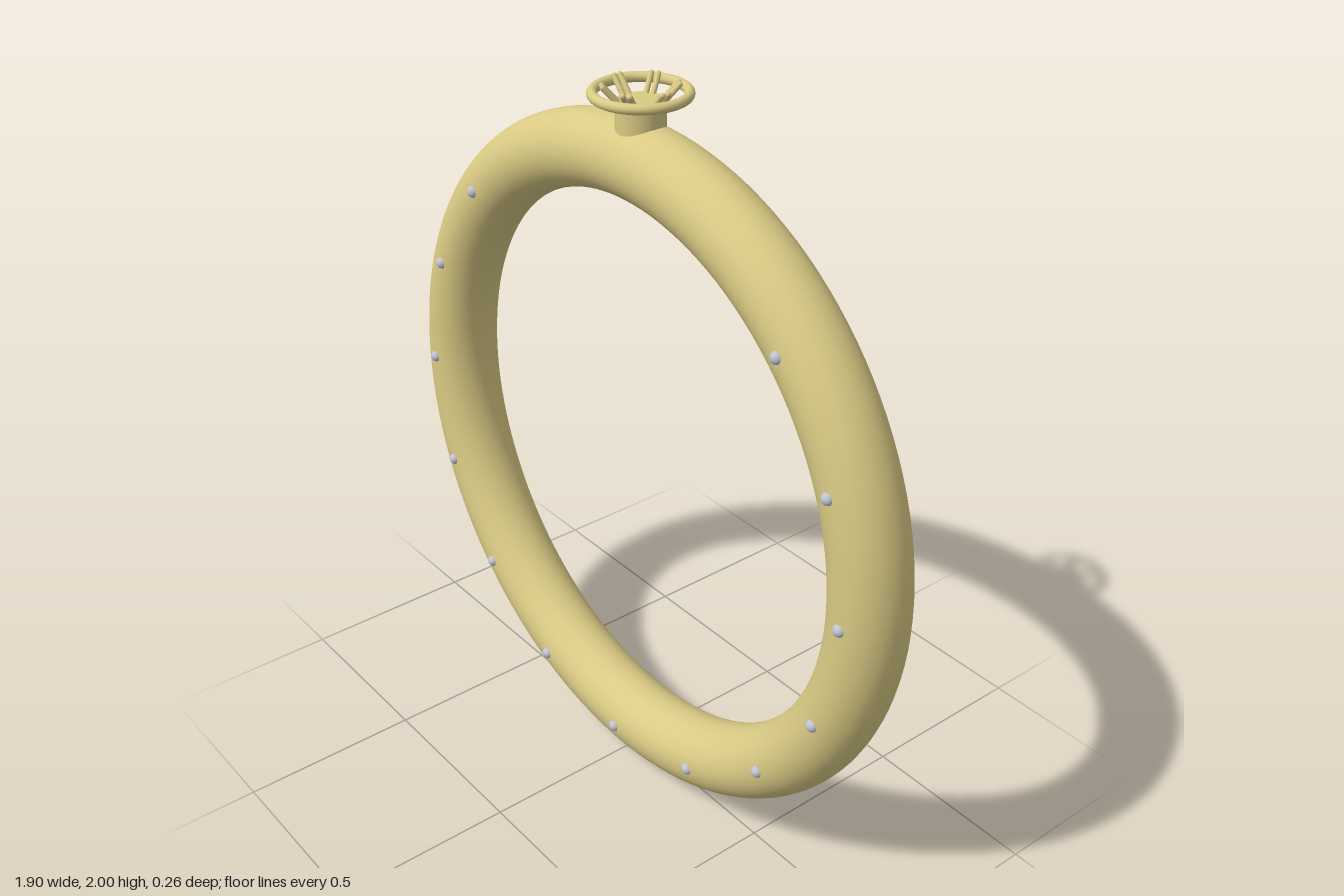
import * as THREE from 'three';

export function createModel() {
  const group = new THREE.Group();
  const gold = new THREE.MeshStandardMaterial({ color: 0xd9ca84 });
  gold.name = 'pale gold';
  const silver = new THREE.MeshStandardMaterial({ color: 0xbfc2d0 });
  silver.name = 'silver stone';

  const add = (name, geometry, material, x = 0, y = 0, z = 0) => {
    const mesh = new THREE.Mesh(geometry, material);
    mesh.name = name;
    mesh.position.set(x, y, z);
    group.add(mesh);
    return mesh;
  };

  // Main band
  const centreY = 0.953, bandRadius = 0.85;
  add('band', new THREE.TorusGeometry(bandRadius, 0.1, 40, 128), gold, 0, centreY, 0);

  // Small stones on the front, leaving the top clear
  const stone = new THREE.SphereGeometry(0.017, 20, 14);
  for (let i = 0; i < 16; i++) {
    if (i >= 3 && i <= 5) continue;
    const a = (i * Math.PI) / 8;
    add('stone', stone, silver, Math.cos(a) * bandRadius, centreY + Math.sin(a) * bandRadius, 0.095);
  }

  // Collar and halo of the setting
  add('collar', new THREE.CylinderGeometry(0.062, 0.062, 0.1, 40), gold, 0, 1.904, 0);
  add('halo', new THREE.TorusGeometry(0.115, 0.013, 16, 64), gold, 0, 1.972, 0).rotation.x = Math.PI / 2;

  // Six pairs of prongs leaning outward from the collar to the halo
  const up = new THREE.Vector3(0, 1, 0);
  for (let i = 0; i < 6; i++) {
    const a = (i * Math.PI) / 3;
    for (const side of [-0.009, 0.009]) {
      const at = (r, y) => new THREE.Vector3(r, y, side).applyAxisAngle(up, a);
      const bottom = at(0.054, 1.95), top = at(0.091, 1.991);
      const path = new THREE.LineCurve3(bottom, top);
      add('prong', new THREE.TubeGeometry(path, 1, 0.007, 10), gold);
      for (const end of [bottom, top]) {
        add('prongTip', new THREE.SphereGeometry(0.007, 10, 8), gold, end.x, end.y, end.z);
      }
    }
  }

  return group;
}
